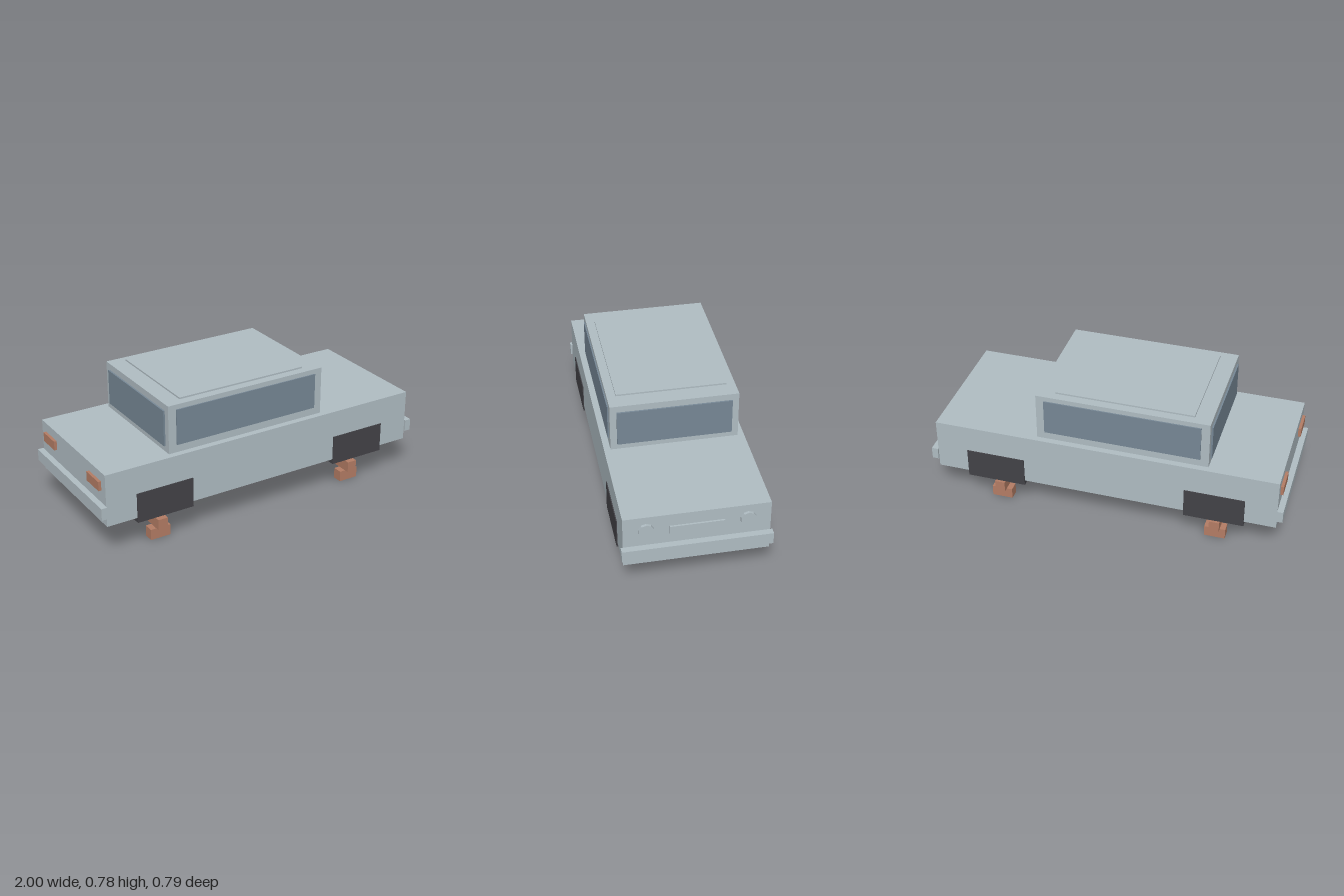
import * as THREE from 'three';

const paint = new THREE.MeshStandardMaterial({ name: 'paleBluePaint', color: 0xb0bdc3 });
const glass = new THREE.MeshStandardMaterial({ name: 'slateGlass', color: 0x778896 });
const dark = new THREE.MeshStandardMaterial({ name: 'darkWheelWell', color: 0x434247 });
const brick = new THREE.MeshStandardMaterial({ name: 'brickRed', color: 0xb47d65 });

// Box given by its [min, max] range on each axis
function box(parent, name, material, [x0, x1], [y0, y1], [z0, z1]) {
  const mesh = new THREE.Mesh(new THREE.BoxGeometry(x1 - x0, y1 - y0, z1 - z0), material);
  mesh.position.set((x0 + x1) / 2, (y0 + y1) / 2, (z0 + z1) / 2);
  mesh.name = name;
  parent.add(mesh);
  return mesh;
}

// Three bricks, the middle one turned a quarter
function brickStack(x, z) {
  const stack = new THREE.Group();
  stack.name = 'brickStack';
  for (let i = 0; i < 3; i++) {
    const mesh = new THREE.Mesh(new THREE.BoxGeometry(0.118, 0.062, 0.057), brick);
    mesh.position.y = 0.031 + i * 0.0655;
    mesh.rotation.y = i === 1 ? Math.PI / 2 : 0;
    mesh.name = 'brick';
    stack.add(mesh);
  }
  stack.position.set(x, 0, z);
  return stack;
}

export function createModel() {
  const car = new THREE.Group();
  car.name = 'carOnBricks';

  // Body, cabin and roof panel
  box(car, 'body', paint, [-0.967, 0.964], [0.2, 0.497], [-0.382, 0.382]);
  box(car, 'cabin', paint, [-0.578, 0.38], [0.497, 0.769], [-0.347, 0.347]);
  box(car, 'roofPanel', paint, [-0.483, 0.284], [0.769, 0.778], [-0.299, 0.299]);

  // Windscreen and rear window
  box(car, 'windscreen', glass, [0.38, 0.389], [0.53, 0.732], [-0.311, 0.311]);
  box(car, 'rearWindow', glass, [-0.587, -0.578], [0.53, 0.732], [-0.311, 0.311]);

  // Bumpers and grille
  box(car, 'frontBumper', paint, [0.964, 1], [0.252, 0.319], [-0.393, 0.393]);
  box(car, 'rearBumper', paint, [-1, -0.967], [0.252, 0.319], [-0.393, 0.393]);
  box(car, 'grille', paint, [0.964, 0.974], [0.377, 0.425], [-0.142, 0.142]);

  for (const side of [-1, 1]) {
    const zRange = (a, b) => (side > 0 ? [a, b] : [-b, -a]);
    box(car, 'sideWindow', glass, [-0.532, 0.335], [0.541, 0.742], zRange(0.347, 0.354));
    box(car, 'tailLight', brick, [-0.983, -0.967], [0.391, 0.444], zRange(0.198, 0.335));

    // Ten-sided headlight facing forwards
    const lamp = new THREE.Mesh(
      new THREE.CylinderGeometry(0.042, 0.042, 0.016, 10).toNonIndexed(), paint);
    lamp.geometry.rotateY(Math.PI / 2).rotateZ(-Math.PI / 2);
    lamp.geometry.rotateX(Math.PI / 2);
    lamp.geometry.computeVertexNormals();
    lamp.position.set(0.971, 0.415, side * 0.263);
    lamp.rotation.x = Math.PI / 2;
    lamp.name = 'headlight';
    car.add(lamp);

    // Empty wheel wells above the brick stacks
    for (const x of [-0.625, 0.62]) {
      box(car, 'wheelWell', dark, [x - 0.167, x + 0.167], [0.172, 0.342], zRange(0.303, 0.387));
      car.add(brickStack(x, side * 0.292));
    }
  }
  return car;
}
